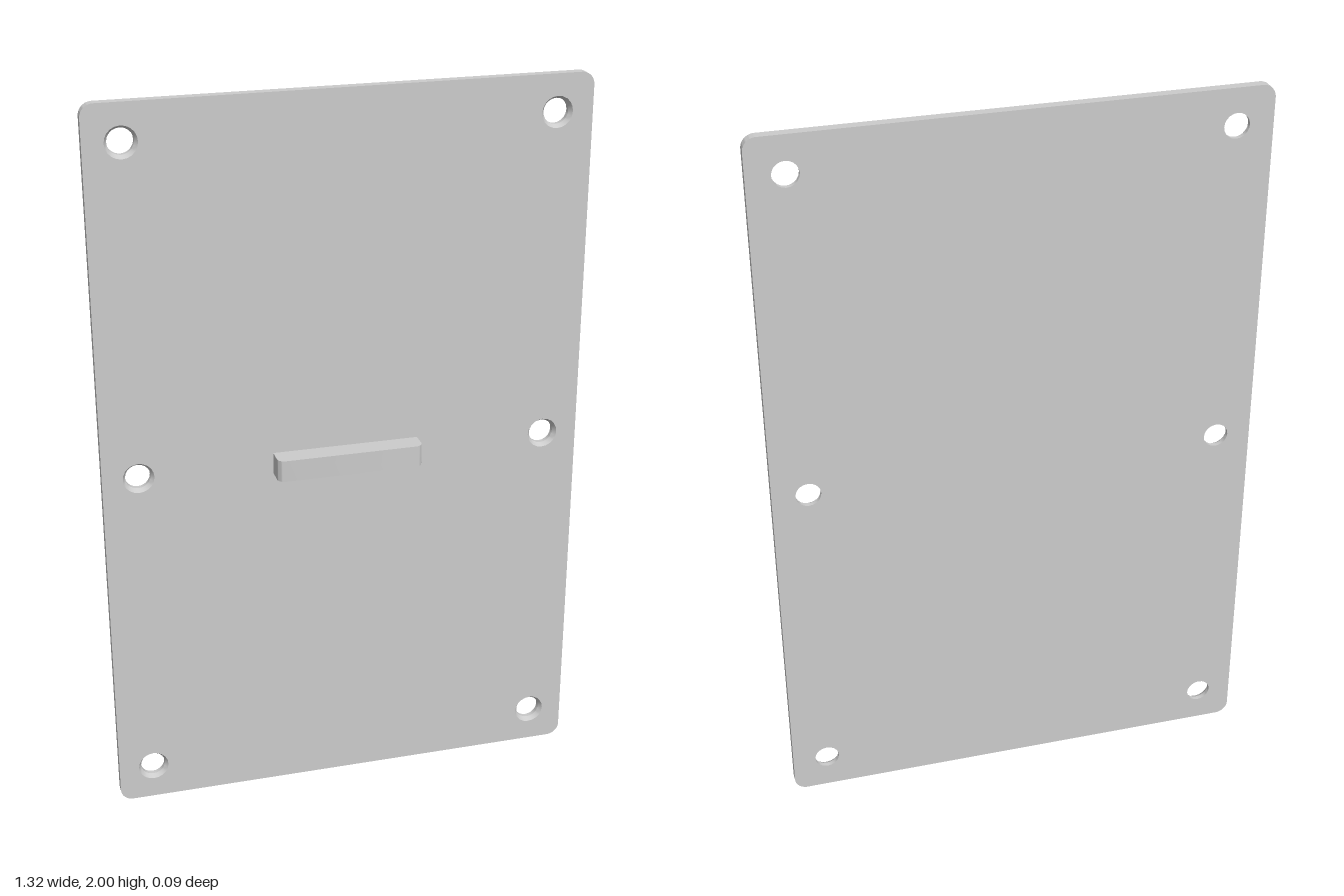
import * as THREE from 'three';
import { toCreasedNormals } from 'three/addons/utils/BufferGeometryUtils.js';

const W = 0.66, H = 2, R = 0.035;        // plate half width, height, corner radius
const BACK = -0.043, FACE = -0.017, FRONT = 0.043; // z of plate back, plate face, handle front
const HOLE = 0.034, SINK = 0.042;        // hole radius and its widened mouth

const extrude = (shape, depth, steps = 1) =>
  new THREE.ExtrudeGeometry(shape, { depth, steps, bevelEnabled: false, curveSegments: 10 });

// Outline from (-w, y0) to (w, y1), top corners rounded by r, bottom corners by rb
function roundedRect(w, y0, y1, r, rb) {
  const s = new THREE.Shape();
  s.moveTo(-w + rb, y0);
  s.lineTo(w - rb, y0);
  if (rb) s.absarc(w - rb, y0 + rb, rb, -Math.PI / 2, 0);
  s.lineTo(w, y1 - r);
  s.absarc(w - r, y1 - r, r, 0, Math.PI / 2);
  s.lineTo(-w + r, y1);
  s.absarc(-w + r, y1 - r, r, Math.PI / 2, Math.PI);
  s.lineTo(-w, y0 + rb);
  if (rb) s.absarc(-w + rb, y0 + rb, rb, Math.PI, Math.PI * 1.5);
  return s;
}

function plateGeometry() {
  const shape = roundedRect(W, 0, H, R, R);
  const centres = [];
  for (const x of [-0.563, 0.563]) for (const y of [0.1, 1, 1.9]) centres.push([x, y]);
  for (const [x, y] of centres) {
    shape.holes.push(new THREE.Path().absarc(x, y, HOLE, 0, Math.PI * 2, true));
  }
  const depth = FACE - BACK;
  const geo = extrude(shape, depth, 2);
  // Countersink: widen each hole at the front face
  const p = geo.attributes.position;
  for (let i = 0; i < p.count; i++) {
    if (p.getZ(i) < depth * 0.9) continue;
    for (const [x, y] of centres) {
      const dx = p.getX(i) - x, dy = p.getY(i) - y;
      if (Math.hypot(dx, dy) < HOLE * 1.1) {
        p.setXY(i, x + dx * SINK / HOLE, y + dy * SINK / HOLE);
        break;
      }
    }
  }
  geo.translate(0, 0, BACK);
  return toCreasedNormals(geo, 0.45);
}

// Bar handle, drawn from above and extruded downwards
function handleGeometry() {
  const geo = extrude(roundedRect(0.2, FACE, FRONT, 0.02, 0), 0.06);
  geo.rotateX(Math.PI / 2);
  geo.translate(0, 1.03, 0);
  return toCreasedNormals(geo, 0.45);
}

export function createModel() {
  const group = new THREE.Group();
  group.name = 'coverPanel';
  const material = new THREE.MeshStandardMaterial({ color: 0xcccccc });
  const parts = { plate: plateGeometry(), handle: handleGeometry() };
  for (const [name, geometry] of Object.entries(parts)) {
    const mesh = new THREE.Mesh(geometry, material);
    mesh.name = name;
    group.add(mesh);
  }
  return group;
}
